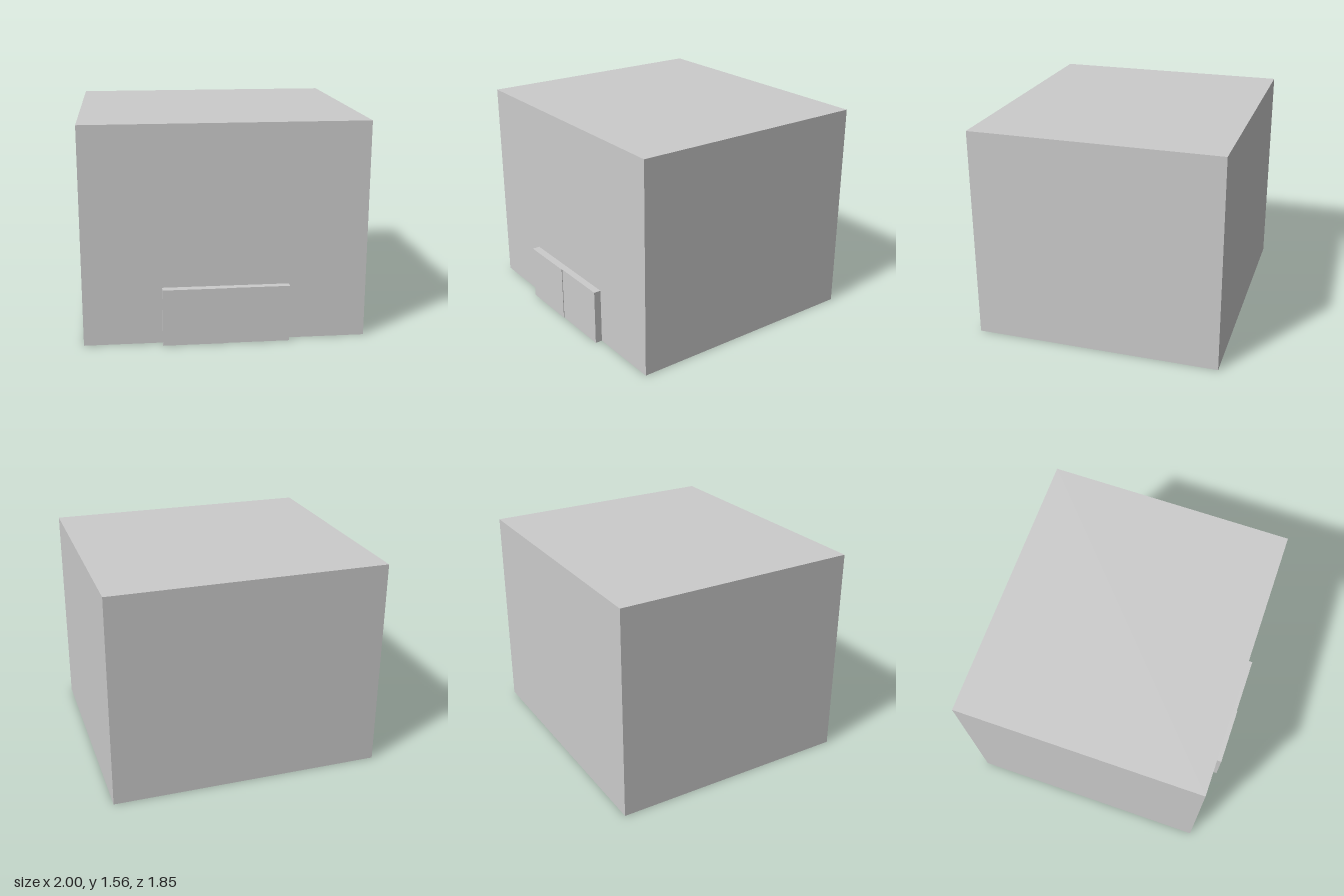
import * as THREE from 'three';

export function createModel() {
  const model = new THREE.Group();
  const material = new THREE.MeshStandardMaterial({ color: 0xcccccc, flatShading: true });

  // Box given by its lower and upper corners
  function addBox(name, min, max) {
    const size = max.map((v, i) => v - min[i]);
    const mesh = new THREE.Mesh(new THREE.BoxGeometry(...size), material);
    mesh.name = name;
    mesh.position.set(...max.map((v, i) => (v + min[i]) / 2));
    model.add(mesh);
  }

  const frontZ = 0.87;

  // Main block of the building
  addBox('building', [-1, 0, -0.927], [1, 1.56, frontZ]);

  // Pair of door leaves on the front wall, the right one slightly proud
  addBox('rightDoor', [-0.447, 0, frontZ], [0, 0.41, 0.927]);
  addBox('leftDoor', [0, 0, frontZ], [0.447, 0.41, 0.922]);

  return model;
}
